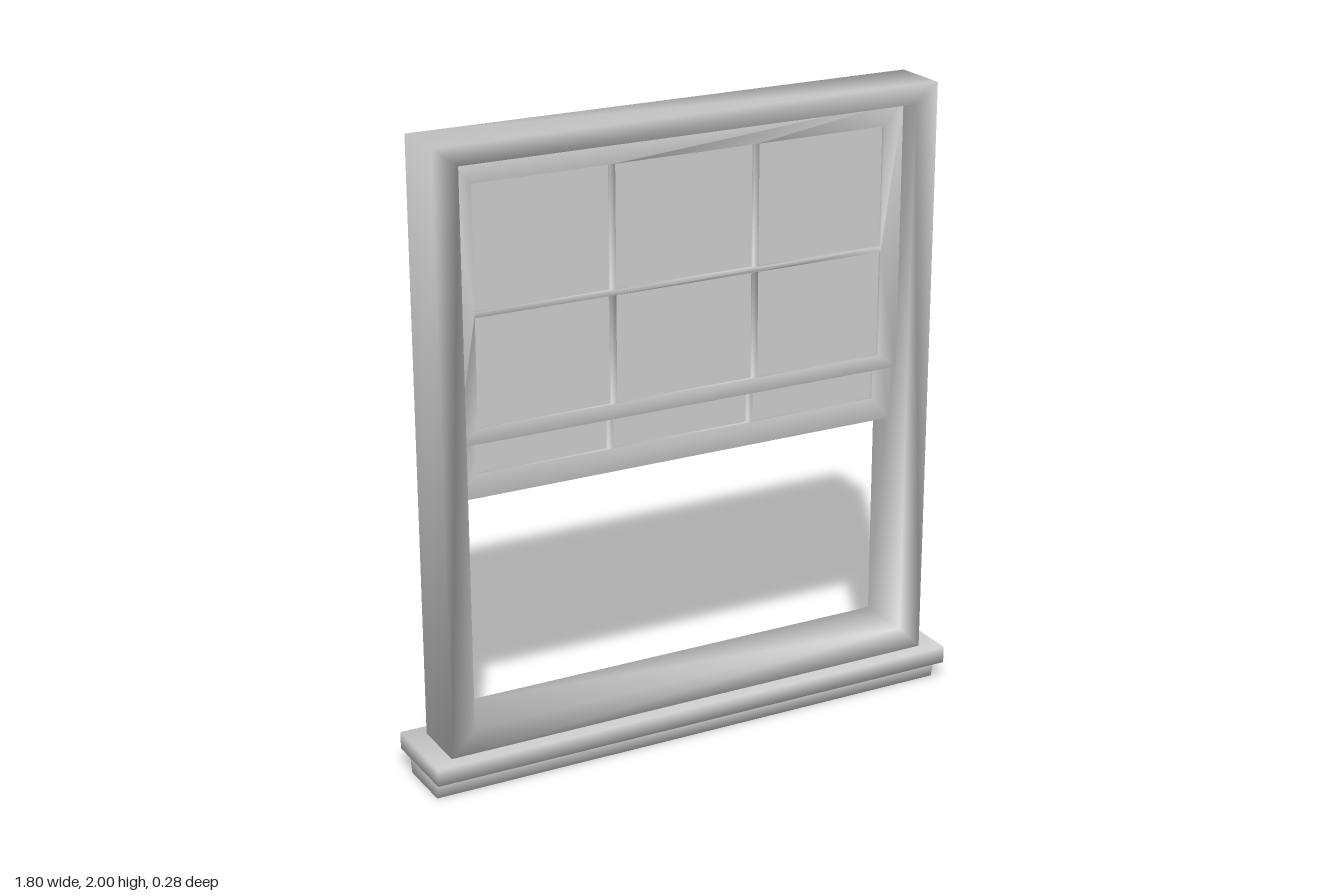
import * as THREE from 'three';
import { mergeVertices } from 'three/addons/utils/BufferGeometryUtils.js';

const material = new THREE.MeshStandardMaterial({ color: 0xcccccc });

// Weld corners so the shading rolls softly round the edges
function soften(geometry) {
  geometry.deleteAttribute('normal');
  geometry.deleteAttribute('uv');
  const welded = mergeVertices(geometry, 1e-4);
  welded.computeVertexNormals();
  return welded;
}

function rect(Type, x0, y0, x1, y1) {
  const r = new Type();
  r.moveTo(x0, y0);
  r.lineTo(x1, y0);
  r.lineTo(x1, y1);
  r.lineTo(x0, y1);
  r.closePath();
  return r;
}

// Flat panel with rectangular openings, running from z0 to z1
function panel(name, outer, holes, z0, z1) {
  const shape = rect(THREE.Shape, ...outer);
  for (const h of holes) shape.holes.push(rect(THREE.Path, ...h));
  const geometry = new THREE.ExtrudeGeometry(shape, { depth: z1 - z0, bevelEnabled: false });
  geometry.translate(0, 0, z0);
  const mesh = new THREE.Mesh(soften(geometry), material);
  mesh.name = name;
  return mesh;
}

function box(name, w, h, d, x, y, z) {
  const mesh = new THREE.Mesh(new THREE.BoxGeometry(w, h, d), material);
  mesh.name = name;
  mesh.position.set(x, y, z);
  return mesh;
}

// Sash with a 3 x 2 grid of panes; rows lists [bottom, top] of each row
function sash(name, bottom, top, rows, z0, z1) {
  const group = new THREE.Group();
  group.name = name;
  const columns = [[-0.688, -0.25], [-0.232, 0.232], [0.25, 0.688]];
  const holes = rows.flatMap(([y0, y1]) => columns.map(([x0, x1]) => [x0, y0, x1, y1]));
  group.add(panel(name + 'Frame', [-0.755, bottom, 0.755, top], holes, z0, z1));
  for (const [x0, y0, x1, y1] of holes) {
    group.add(box('glassPane', x1 - x0, y1 - y0, 0.006, (x0 + x1) / 2, (y0 + y1) / 2, (z0 + z1) / 2));
  }
  return group;
}

export function createModel() {
  const model = new THREE.Group();
  model.name = 'sashWindow';

  // Outer frame
  model.add(panel('outerFrame', [-0.833, 0.12, 0.833, 2], [[-0.755, 0.2, 0.755, 1.94]], -0.095, 0.095));

  // Sill board
  const sill = box('sill', 1.8, 0.055, 0.284, 0, 0.0925, 0);
  sill.geometry = soften(sill.geometry);
  model.add(sill);

  // Apron under the sill, narrowing in depth towards the bottom
  const apron = box('apron', 1.77, 0.065, 0.22, 0, 0.0325, 0);
  const p = apron.geometry.attributes.position;
  for (let i = 0; i < p.count; i++) {
    if (p.getY(i) < 0) p.setZ(i, p.getZ(i) * 0.86);
  }
  apron.geometry = soften(apron.geometry);
  model.add(apron);

  // Upper sash in front, raised lower sash behind it
  model.add(sash('upperSash', 1.08, 1.94, [[1.128, 1.467], [1.484, 1.865]], 0, 0.028));
  const lower = sash('lowerSash', 0.9, 1.76, [[0.975, 1.35], [1.368, 1.71]], -0.028, 0);

  // Finger lifts on the bottom rail of the lower sash
  for (const side of [-1, 1]) {
    lower.add(box('fingerLift', 0.365, 0.018, 0.025, side * 0.467, 0.93, -0.04));
  }
  model.add(lower);

  return model;
}
